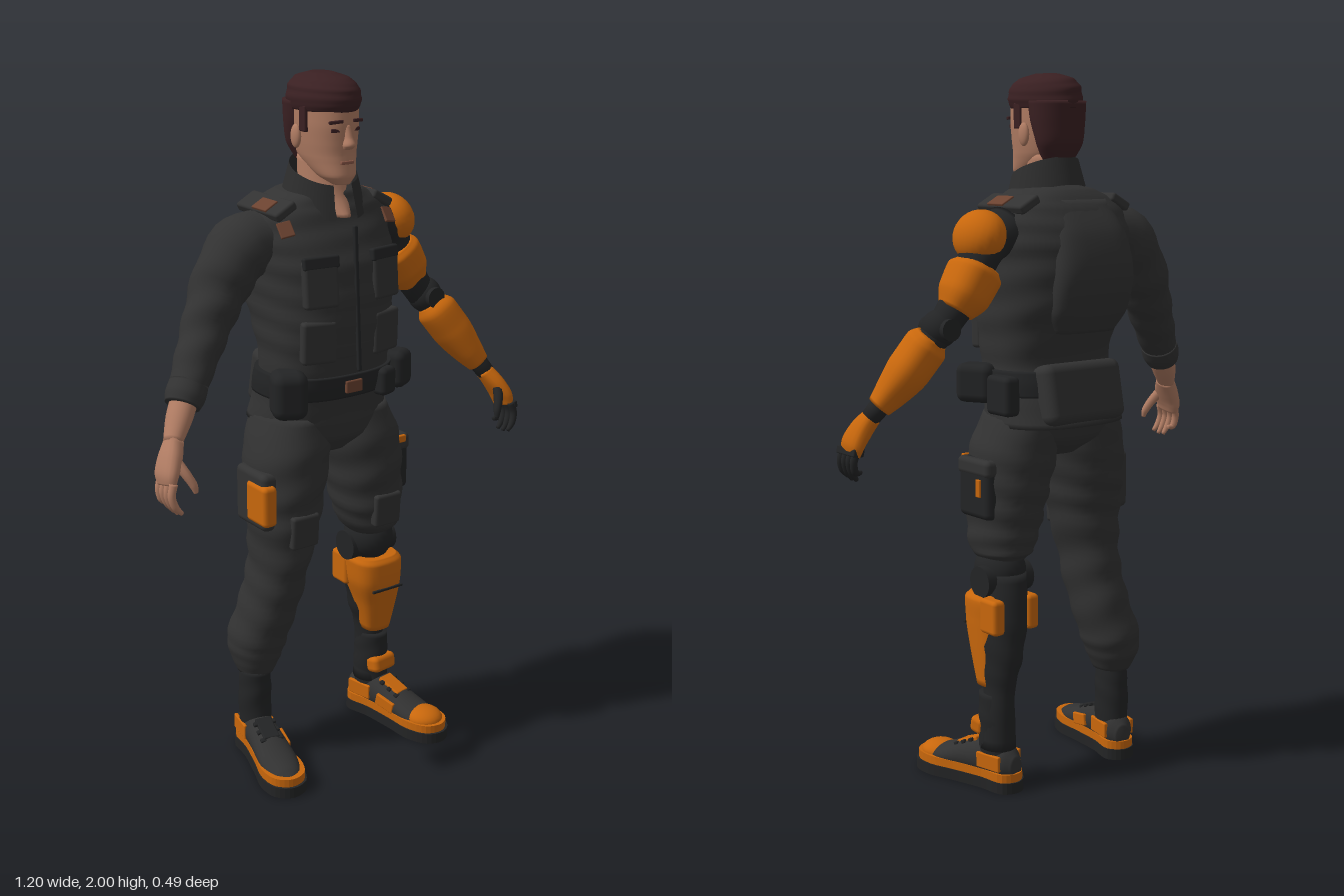
import * as THREE from 'three';
import { RoundedBoxGeometry } from 'three/addons/geometries/RoundedBoxGeometry.js';

const flat = (name, color) => Object.assign(new THREE.MeshStandardMaterial({ color }), { name });

export function createModel() {
  const root = new THREE.Group();
  root.name = 'figure';
  const cloth = flat('charcoal cloth', 0x323232), gear = flat('black gear', 0x232425);
  const orange = flat('orange armour', 0xc8670c), skin = flat('skin', 0xb07c63);
  const hair = flat('dark brown hair', 0x3a2022), brown = flat('brown patch', 0x6b4230);
  const lip = flat('lips', 0x8c5848);
  const collarMat = flat('collar cloth', 0x2c2c2c);
  collarMat.side = THREE.DoubleSide;

  const add = (name, geo, mat, parent = root) => {
    const m = new THREE.Mesh(geo, mat);
    m.name = name;
    parent.add(m);
    return m;
  };
  const box = (name, mat, [w, h, d], [x, y, z], [rx, ry, rz] = [0, 0, 0], parent = root) => {
    const m = add(name, new RoundedBoxGeometry(w, h, d, 2, Math.min(w, h, d) * 0.3), mat, parent);
    m.position.set(x, y, z);
    m.rotation.set(rx, ry, rz);
    return m;
  };
  const ball = (name, mat, [x, y, z], [a, b, c], parent = root) => {
    const m = add(name, new THREE.SphereGeometry(1, 24, 16), mat, parent);
    m.position.set(x, y, z);
    m.scale.set(a, b, c);
    return m;
  };
  // Closed skin through oval sections [x, y, z, radiusA, radiusB]; radiusA lies along ref
  const loft = (name, mat, pts, { ref = [1, 0, 0], dir, n = 24, pow = 2, fold = 0, parent = root } = {}) => {
    const path = new THREE.CatmullRomCurve3(pts.map(p => new THREE.Vector3(p[0], p[1], p[2])));
    const size = new THREE.CatmullRomCurve3(pts.map(p => new THREE.Vector3(p[3], p[4], 0)));
    const rows = (pts.length - 1) * 6, pos = [], idx = [];
    const r = new THREE.Vector3(...ref);
    for (let i = 0; i <= rows; i++) {
      const u = i / rows, c = path.getPoint(u), s = size.getPoint(u);
      const t = dir ? new THREE.Vector3(...dir) : path.getTangent(u);
      const a = r.clone().addScaledVector(t, -r.dot(t)).normalize();
      const b = t.clone().cross(a);
      for (let j = 0; j < n; j++) {
        const q = (j / n) * Math.PI * 2, cs = Math.cos(q), sn = Math.sin(q);
        const k = 1 + fold * Math.sin(i * 1.25 + 2.2 * Math.sin(q + i * 0.12)) * Math.sin(Math.PI * u);
        const f = v => Math.sign(v) * Math.abs(v) ** (2 / pow) * k;
        const v = c.clone().addScaledVector(a, f(cs) * s.x).addScaledVector(b, f(sn) * s.y);
        pos.push(v.x, v.y, v.z);
        if (i < rows) {
          const A = i * n + j, B = i * n + (j + 1) % n;
          idx.push(A, B, B + n, A, B + n, A + n);
        }
      }
    }
    // end caps
    const e = pos.length / 3, first = path.getPoint(0), last = path.getPoint(1);
    pos.push(first.x, first.y, first.z, last.x, last.y, last.z);
    for (let j = 0; j < n; j++) {
      const k = (j + 1) % n;
      idx.push(e, k, j, e + 1, rows * n + j, rows * n + k);
    }
    const g = new THREE.BufferGeometry();
    g.setAttribute('position', new THREE.Float32BufferAttribute(pos, 3));
    g.setIndex(idx);
    g.computeVertexNormals();
    return add(name, g, mat, parent);
  };
  const up = [0, 1, 0], down = [0, -1, 0], Z = [0, 0, 1];

  // Head
  loft('head', skin, [[0, 1.712, 0.085, 0.024, 0.025], [0, 1.735, 0.06, 0.05, 0.06], [0, 1.78, 0.02, 0.067, 0.095],
    [0, 1.82, 0.012, 0.074, 0.104], [0, 1.87, 0.008, 0.079, 0.112], [0, 1.92, 0.003, 0.08, 0.114], [0, 1.96, 0, 0.06, 0.09]],
  { dir: up, n: 32, pow: 2.15 });
  loft('neck', skin, [[0, 1.625, 0.04, 0.035, 0.08], [0, 1.68, 0.005, 0.062, 0.075], [0, 1.78, -0.015, 0.06, 0.066]], { dir: up });
  loft('nose', skin, [[0, 1.872, 0.112, 0.009, 0.008], [0, 1.84, 0.119, 0.011, 0.013], [0, 1.82, 0.122, 0.017, 0.02],
    [0, 1.808, 0.117, 0.013, 0.01]], { dir: down, n: 12 });
  box('mouth', lip, [0.042, 0.009, 0.008], [0, 1.772, 0.114]);
  loft('hairTop', hair, [[0, 1.905, 0.001, 0.083, 0.118], [0, 1.93, 0.005, 0.089, 0.123], [0, 1.962, 0.004, 0.084, 0.117],
    [0, 1.986, 0, 0.064, 0.09], [0, 1.999, -0.002, 0.028, 0.04]], { dir: up, n: 32, fold: 0.012 });
  loft('hairBack', hair, [[0, 1.765, -0.05, 0.05, 0.035], [0, 1.81, -0.058, 0.072, 0.05], [0, 1.87, -0.05, 0.083, 0.064],
    [0, 1.925, -0.045, 0.087, 0.073]], { dir: up, n: 28 });
  for (const s of [1, -1]) {
    ball('ear', skin, [s * 0.083, 1.835, -0.005], [0.011, 0.032, 0.02]);
    box('sideburn', hair, [0.014, 0.07, 0.03], [s * 0.078, 1.885, 0.025]);
    box('eye', hair, [0.026, 0.01, 0.007], [s * 0.033, 1.858, 0.108], [0, s * 0.3, 0]);
    box('eyebrow', hair, [0.04, 0.009, 0.009], [s * 0.035, 1.881, 0.112], [0, s * 0.3, s * -0.08]);
  }

  // Jacket and open sloping collar
  loft('jacket', cloth, [[0, 1.04, -0.035, 0.2, 0.155], [0, 1.12, -0.015, 0.192, 0.145], [0, 1.2, 0.005, 0.184, 0.142],
    [0, 1.3, 0, 0.192, 0.163], [0, 1.4, -0.02, 0.2, 0.186], [0, 1.5, -0.03, 0.205, 0.186], [0, 1.58, -0.04, 0.208, 0.162],
    [0, 1.645, -0.035, 0.19, 0.128], [0, 1.685, -0.025, 0.12, 0.1], [0, 1.7, -0.02, 0.065, 0.07]],
  { dir: up, n: 48, pow: 2.5, fold: 0.014 });
  const collarGeo = new THREE.CylinderGeometry(0.093, 0.115, 0.085, 36, 3, true, 0.32, Math.PI * 2 - 0.64);
  const cp = collarGeo.attributes.position;
  for (let i = 0; i < cp.count; i++) cp.setY(i, cp.getY(i) - cp.getZ(i) * 0.36);
  collarGeo.computeVertexNormals();
  add('collar', collarGeo, collarMat).position.set(0, 1.7, 0.005);
  box('zip', gear, [0.012, 0.4, 0.012], [0, 1.41, 0.163], [-0.06, 0, 0]);
  loft('backPanel', cloth, [[-0.01, 1.3, -0.13, 0.1, 0.06], [-0.01, 1.36, -0.15, 0.13, 0.07], [-0.01, 1.46, -0.165, 0.135, 0.077],
    [-0.01, 1.57, -0.145, 0.125, 0.07], [-0.01, 1.66, -0.1, 0.1, 0.05]], { dir: up, pow: 3.5, n: 32 });
  box('lowerBackPouch', cloth, [0.27, 0.17, 0.09], [0, 1.13, -0.142], [0.2, 0, 0]);
  for (const s of [1, -1]) {
    box('chestPocket', cloth, [0.1, 0.13, 0.035], [s * 0.105, 1.46, 0.138], [-0.08, s * 0.22, 0]);
    box('chestFlap', gear, [0.104, 0.035, 0.02], [s * 0.105, 1.52, 0.141], [-0.12, s * 0.22, 0]);
    box('lowerPocket', cloth, [0.1, 0.12, 0.035], [s * 0.11, 1.3, 0.136], [0.03, s * 0.24, 0]);
    box('shoulderStrap', cloth, [0.07, 0.026, 0.2], [s * 0.16, 1.65, -0.035], [0, 0, s * -0.5]);
    box('shoulderPatch', brown, [0.045, 0.009, 0.07], [s * 0.175, 1.657, -0.02], [0, 0, s * -0.5]);
    box('frontPatch', brown, [0.04, 0.045, 0.009], [s * 0.17, 1.605, 0.072], [-0.65, s * 0.3, 0]);
  }

  // Belt
  loft('belt', gear, [[0, 1.125, -0.012, 0.197, 0.15], [0, 1.16, -0.005, 0.199, 0.152], [0, 1.195, 0.002, 0.196, 0.149]],
    { dir: up, n: 40, pow: 2.5 });
  box('buckle', brown, [0.055, 0.035, 0.012], [0, 1.16, 0.15]);
  box('beltPouch', gear, [0.1, 0.135, 0.1], [-0.18, 1.155, 0.095], [0, -0.4, 0]);
  box('beltPouch', gear, [0.08, 0.11, 0.11], [0.205, 1.155, 0.05], [0, 0.5, 0]);
  box('beltPouch', gear, [0.05, 0.11, 0.1], [0.2, 1.13, -0.06]);
  box('beltPouch', gear, [0.06, 0.08, 0.05], [0.12, 1.15, 0.13], [0, 0.3, 0]);

  // Trousers
  loft('hips', cloth, [[0, 0.95, -0.01, 0.07, 0.08], [0, 1.0, -0.015, 0.17, 0.132], [0, 1.06, -0.02, 0.197, 0.145],
    [0, 1.14, -0.015, 0.185, 0.135]], { dir: up, n: 32, pow: 2.3 });
  const thigh = s => [[s * 0.105, 1.07, -0.02, 0.09, 0.125], [s * 0.123, 0.96, -0.003, 0.113, 0.135],
    [s * 0.137, 0.85, 0.005, 0.105, 0.128], [s * 0.147, 0.75, 0.01, 0.096, 0.113]];
  loft('rightTrouserLeg', cloth, [...thigh(-1), [-0.16, 0.62, 0.003, 0.077, 0.104], [-0.175, 0.5, -0.02, 0.08, 0.098],
    [-0.2, 0.38, -0.048, 0.083, 0.094], [-0.207, 0.32, -0.052, 0.07, 0.082], [-0.21, 0.27, -0.048, 0.05, 0.057]],
  { dir: down, pow: 2.2, n: 28, fold: 0.04 });
  loft('leftTrouserLeg', cloth, [...thigh(1), [0.157, 0.68, 0.007, 0.08, 0.1], [0.16, 0.655, 0.004, 0.06, 0.07]],
    { dir: down, pow: 2.2, n: 28, fold: 0.035 });
  box('rightThighPouch', cloth, [0.06, 0.17, 0.15], [-0.228, 0.84, 0.01]);
  box('rightThighPlate', orange, [0.045, 0.12, 0.1], [-0.243, 0.835, 0.05]);
  box('leftThighPouch', gear, [0.06, 0.17, 0.14], [0.225, 0.865, 0.01]);
  box('leftThighPouchFlap', cloth, [0.066, 0.05, 0.146], [0.225, 0.925, 0.01]);
  box('leftThighTab', orange, [0.04, 0.022, 0.012], [0.215, 0.94, 0.085]);
  box('leftThighTab', orange, [0.009, 0.05, 0.02], [0.257, 0.87, -0.02]);
  for (const s of [1, -1]) box('kneePocket', cloth, [0.09, 0.1, 0.03], [s * 0.145, 0.75, 0.115], [0.08, 0, 0]);

  // Mechanical left leg
  ball('kneeJoint', gear, [0.168, 0.625, 0], [0.07, 0.075, 0.08]);
  const hinge = add('kneeHinge', new THREE.CylinderGeometry(0.045, 0.045, 0.16, 20), gear);
  hinge.position.set(0.172, 0.6, -0.015);
  hinge.rotation.z = Math.PI / 2;
  loft('calf', gear, [[0.17, 0.62, -0.02, 0.06, 0.07], [0.185, 0.5, -0.035, 0.066, 0.075], [0.2, 0.38, -0.045, 0.056, 0.068],
    [0.212, 0.28, -0.05, 0.042, 0.05], [0.215, 0.12, -0.048, 0.05, 0.055]], { dir: down, fold: 0.03 });
  loft('shinArmour', orange, [[0.18, 0.565, -0.002, 0.068, 0.068], [0.184, 0.545, -0.002, 0.08, 0.082], [0.187, 0.48, -0.002, 0.076, 0.078],
    [0.2, 0.4, -0.01, 0.06, 0.062], [0.212, 0.3, -0.022, 0.042, 0.04]], { dir: down, pow: 2.8 });
  for (const s of [1, -1]) box('calfArmour', orange, [0.04, 0.1, 0.075], [0.183 + s * 0.06, 0.51, -0.062]);
  box('shinSeam', gear, [0.11, 0.008, 0.008], [0.188, 0.465, 0.073]);
  box('ankleArmour', orange, [0.09, 0.05, 0.05], [0.222, 0.18, 0.0], [-0.2, 0.18, 0]);

  // Boots
  const outline = [[0, -0.125], [0.042, -0.1], [0.042, -0.02], [0.052, 0.08], [0.062, 0.16], [0.045, 0.222], [0, 0.245],
    [-0.045, 0.222], [-0.062, 0.16], [-0.052, 0.08], [-0.042, -0.02], [-0.042, -0.1]];
  const slab = (k, y0, y1) => {
    const curve = new THREE.CatmullRomCurve3(outline.map(([x, z]) => new THREE.Vector3(x * k, z * (k * 0.5 + 0.5), 0)), true);
    const shape = new THREE.Shape(curve.getPoints(48).map(p => new THREE.Vector2(p.x, p.y)));
    return new THREE.ExtrudeGeometry(shape, { depth: y1 - y0, bevelEnabled: false }).rotateX(Math.PI / 2).translate(0, y1, 0);
  };
  for (const s of [1, -1]) {
    const boot = new THREE.Group();
    boot.name = s > 0 ? 'leftBoot' : 'rightBoot';
    boot.position.set(s * 0.224, 0, 0);
    boot.rotation.y = s * 0.2;
    root.add(boot);
    add('sole', slab(1.06, 0, 0.032), gear, boot);
    add('toeRand', slab(1.0, 0.032, 0.056), orange, boot);
    loft('upper', cloth, [[0, 0.07, -0.118, 0.022, 0.03], [0, 0.08, -0.09, 0.043, 0.048], [0, 0.085, -0.03, 0.046, 0.058],
      [0, 0.075, 0.05, 0.05, 0.05], [0, 0.055, 0.14, 0.056, 0.034], [0, 0.045, 0.205, 0.042, 0.024], [0, 0.042, 0.232, 0.02, 0.012]],
    { dir: Z, parent: boot });
    loft('shaft', gear, [[0, 0.28, -0.04, 0.044, 0.05], [0, 0.2, -0.045, 0.048, 0.054], [0, 0.09, -0.045, 0.046, 0.056]],
      { dir: down, parent: boot, fold: 0.03 });
    for (const q of [1, -1]) box('heelPlate', orange, [0.012, 0.045, 0.085], [q * 0.044, 0.085, -0.05], [0, 0, 0], boot);
    box('sidePlate', orange, [0.012, 0.035, 0.07], [s * -0.05, 0.075, 0.06], [0.2, 0, 0], boot);
    box('tongue', s > 0 ? orange : gear, [0.05, 0.014, 0.08], [0, 0.118, 0.05], [0.36, 0, 0], boot);
    if (s > 0) ball('toeCap', orange, [0, 0.055, 0.175], [0.054, 0.032, 0.058], boot);
    for (let i = 0; i < 3; i++) box('lace', gear, [0.07, 0.01, 0.014], [0, 0.127 - i * 0.012, 0.03 + i * 0.028], [0.36, 0, 0], boot);
  }

  // Hands: palm, four fingers and thumb
  const hand = (s, name, palmMat, fingerMat) => {
    const g = new THREE.Group();
    g.name = name;
    root.add(g);
    loft('palm', palmMat, [[s * 0.535, 1.09, 0.08, 0.027, 0.024], [s * 0.56, 1.05, 0.1, 0.04, 0.025],
      [s * 0.577, 1.015, 0.112, 0.045, 0.022], [s * 0.582, 0.988, 0.118, 0.04, 0.015]], { ref: Z, parent: g, n: 16, pow: 2.5 });
    for (let i = 0; i < 4; i++) {
      const z = 0.086 + i * 0.022, tip = 0.918 - 0.008 * Math.sin(i) + (i === 0 ? 0.018 : 0);
      loft('finger', fingerMat, [[s * 0.581, 1.0, z, 0.011, 0.012], [s * 0.59, 0.968, z + 0.004, 0.011, 0.011],
        [s * 0.582, 0.938, z + 0.008, 0.01, 0.01], [s * 0.564, tip, z + 0.01, 0.006, 0.006]], { ref: Z, parent: g, n: 10 });
    }
    loft('thumb', fingerMat, [[s * 0.555, 1.05, 0.12, 0.016, 0.015], [s * 0.538, 1.015, 0.145, 0.014, 0.013],
      [s * 0.524, 0.985, 0.158, 0.011, 0.011], [s * 0.52, 0.965, 0.162, 0.006, 0.006]], { ref: Z, parent: g, n: 10 });
  };
  hand(-1, 'rightHand', skin, skin);
  hand(1, 'leftHand', orange, gear);

  // Right arm in a rolled sleeve
  loft('sleeve', cloth, [[-0.15, 1.57, -0.04, 0.085, 0.075], [-0.24, 1.54, -0.045, 0.095, 0.088], [-0.31, 1.44, -0.045, 0.084, 0.078],
    [-0.368, 1.34, -0.025, 0.068, 0.066], [-0.425, 1.25, 0.005, 0.06, 0.056], [-0.475, 1.175, 0.035, 0.05, 0.046]], { ref: Z, fold: 0.05 });
  loft('cuff', cloth, [[-0.448, 1.215, 0.018, 0.056, 0.052], [-0.465, 1.19, 0.028, 0.058, 0.054], [-0.482, 1.165, 0.038, 0.05, 0.047]], { ref: Z });
  loft('forearm', skin, [[-0.45, 1.215, 0.02, 0.042, 0.038], [-0.5, 1.14, 0.052, 0.04, 0.034], [-0.54, 1.085, 0.082, 0.028, 0.024]], { ref: Z });

  // Mechanical left arm
  loft('armCore', gear, [[0.17, 1.58, -0.04, 0.08, 0.07], [0.25, 1.54, -0.045, 0.07, 0.055], [0.31, 1.42, -0.045, 0.055, 0.05],
    [0.385, 1.32, -0.025, 0.045, 0.042], [0.45, 1.22, 0.02, 0.04, 0.036], [0.54, 1.085, 0.082, 0.028, 0.026]], { ref: Z, fold: 0.06 });
  ball('shoulderArmour', orange, [0.265, 1.565, -0.045], [0.064, 0.074, 0.086]).rotation.z = 0.4;
  loft('upperArmArmour', orange, [[0.272, 1.485, -0.045, 0.064, 0.055], [0.285, 1.465, -0.045, 0.078, 0.07],
    [0.32, 1.41, -0.045, 0.073, 0.066], [0.345, 1.37, -0.04, 0.05, 0.045]], { ref: Z, pow: 2.5 });
  ball('elbowJoint', gear, [0.385, 1.325, -0.025], [0.048, 0.052, 0.054]);
  const pivot = add('elbowPivot', new THREE.CylinderGeometry(0.03, 0.03, 0.115, 18), gear);
  pivot.position.set(0.385, 1.325, -0.025);
  pivot.rotation.x = Math.PI / 2;
  loft('forearmArmour', orange, [[0.4, 1.3, -0.012, 0.045, 0.04], [0.415, 1.275, 0, 0.062, 0.056], [0.455, 1.215, 0.02, 0.062, 0.055],
    [0.495, 1.15, 0.052, 0.046, 0.042], [0.52, 1.115, 0.068, 0.034, 0.032]], { ref: Z, pow: 2.5 });
  box('knuckleGuard', gear, [0.012, 0.022, 0.09], [0.592, 0.995, 0.12], [0, 0, 0.2]);
  return root;
}
